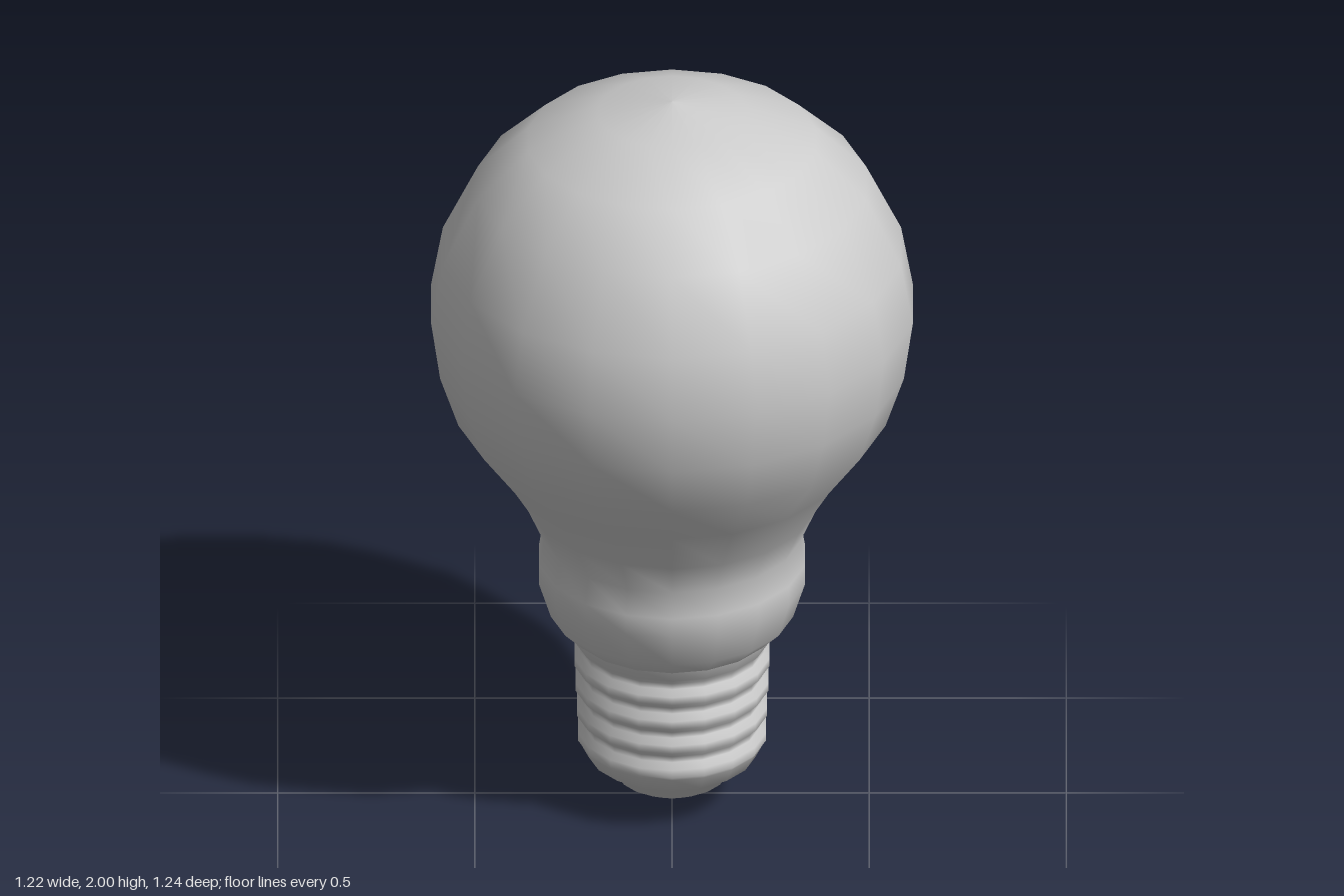
import * as THREE from 'three';

const SIDES = 18;
const material = new THREE.MeshStandardMaterial({ color: 0xcccccc, side: THREE.DoubleSide });

// Turns a bottom-to-top list of [radius, height] into a smooth turned part
function turned(name, profile) {
  const points = profile.map(([r, y]) => new THREE.Vector2(r, y));
  const mesh = new THREE.Mesh(new THREE.LatheGeometry(points, SIDES), material);
  mesh.name = name;
  return mesh;
}

export function createModel() {
  const group = new THREE.Group();
  group.name = 'lightBulb';

  // Globe flowing down through the neck into the bulging collar
  group.add(turned('glassBulb', [
    [0.262, 0.49], [0.312, 0.54], [0.342, 0.635], [0.342, 0.69], [0.33, 0.76],
    [0.37, 0.85], [0.45, 0.98], [0.55, 1.115], [0.597, 1.255], [0.62, 1.415],
    [0.59, 1.58], [0.5, 1.765], [0.37, 1.89], [0.19, 1.97], [0, 2],
  ]));

  // Rounded contact tip, then four thread ridges up to the collar
  const base = [
    [0, 0], [0.075, 0.025], [0.14, 0.062], [0.165, 0.1], [0.215, 0.125], [0.235, 0.165],
  ];
  const pitch = 0.072;
  for (let i = 0; i < 4; i++) {
    const y = 0.185 + i * pitch;
    const r = 0.242 + i * 0.003;
    base.push([r, y - 0.01], [r, y + 0.012], [r - 0.015, y + 0.028], [r - 0.015, y + 0.044]);
  }
  base.push([0.25, 0.46], [0.262, 0.49]);
  group.add(turned('screwBase', base));

  return group;
}
